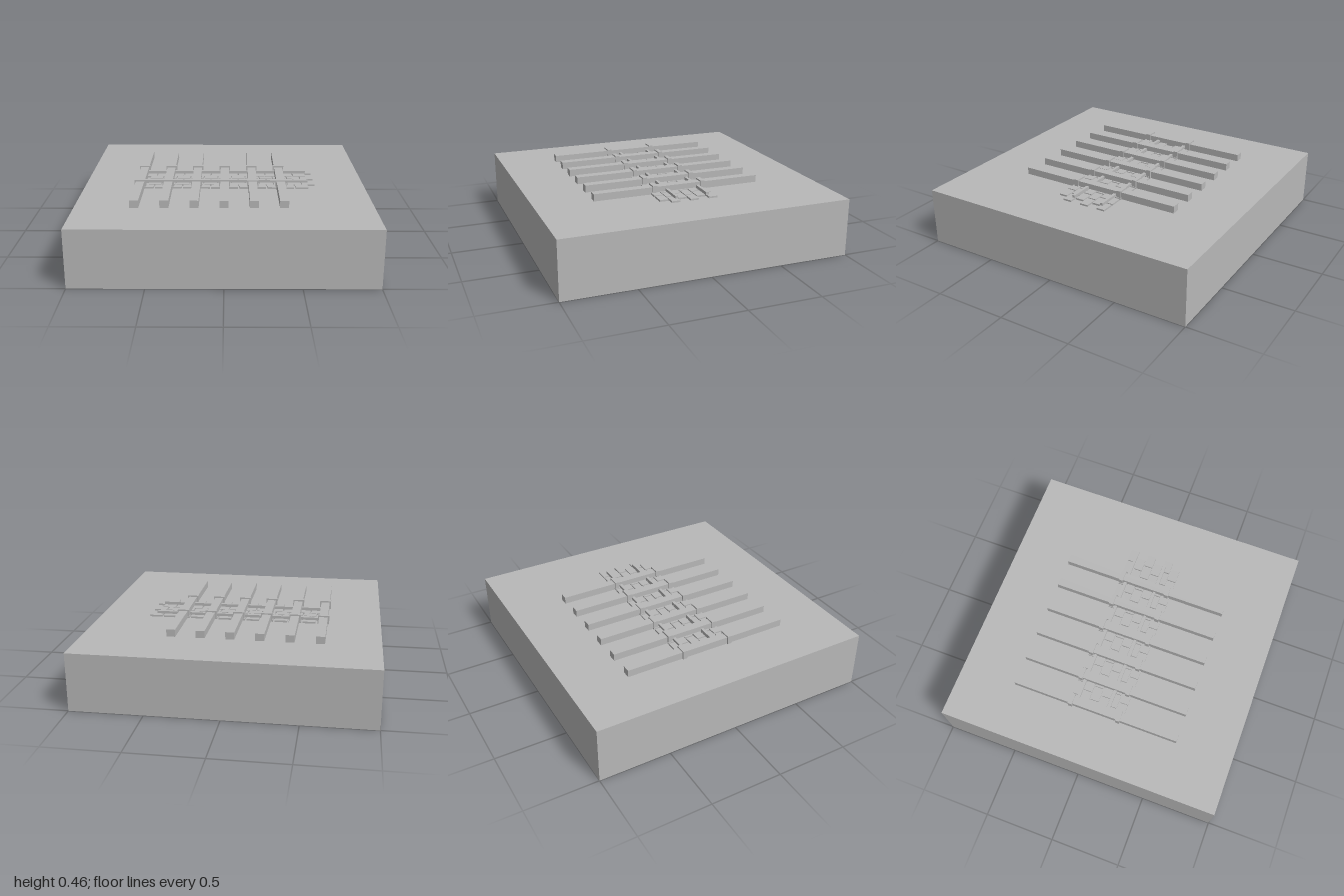
import * as THREE from 'three';

export function createModel() {
  const model = new THREE.Group();
  model.name = 'trackBed';
  const grey = new THREE.MeshStandardMaterial({ color: 0xb8b8b8 });
  grey.name = 'plain grey';

  const TOP = 0.4; // upper face of the slab

  // Box given by its centre in x and z, and its bottom and top heights
  function box(name, parent, x, z, width, depth, bottom, top) {
    const mesh = new THREE.Mesh(new THREE.BoxGeometry(width, top - bottom, depth), grey);
    mesh.name = name;
    mesh.position.set(x, (bottom + top) / 2, z);
    parent.add(mesh);
    return mesh;
  }

  function group(name) {
    const g = new THREE.Group();
    g.name = name;
    model.add(g);
    return g;
  }

  // Base slab
  box('slab', model, 0, 0, 2, 2, 0, TOP);

  // Brick paving: six rows of twelve in running bond
  const paving = group('paving');
  for (let row = 0; row < 6; row++) {
    const shift = row % 2 === 0 ? 0.05 : 0;
    const z = -0.167 + row * 0.0668;
    for (let i = 0; i < 12; i++) {
      box('brick', paving, -0.55 + i * 0.1 + shift, z, 0.09, 0.06, TOP, TOP + 0.012);
    }
  }

  // Two long rails lying on the bricks
  const rails = group('rails');
  for (const z of [-0.145, 0.08]) box('rail', rails, 0, z, 1.2, 0.02, TOP + 0.01, TOP + 0.03);

  // Cross beams, each held by two arched straps
  const beams = group('crossBeams');
  const strapShape = new THREE.Shape([
    [-0.04, 0], [-0.03, 0], [-0.03, 0.05], [0.03, 0.05],
    [0.03, 0], [0.04, 0], [0.04, 0.06], [-0.04, 0.06],
  ].map(([x, y]) => new THREE.Vector2(x, y)));
  const strapGeometry = new THREE.ExtrudeGeometry(strapShape, { depth: 0.03, bevelEnabled: false });
  for (let i = 0; i < 6; i++) {
    const x = -0.6 + i * 0.2;
    box('crossBeam', beams, x, 0, 0.06, 1.2, TOP, TOP + 0.05);
    for (const z of [-0.18, 0.17]) {
      const strap = new THREE.Mesh(strapGeometry, grey);
      strap.name = 'strap';
      strap.position.set(x, TOP, z - 0.015);
      beams.add(strap);
    }
  }

  return model;
}
